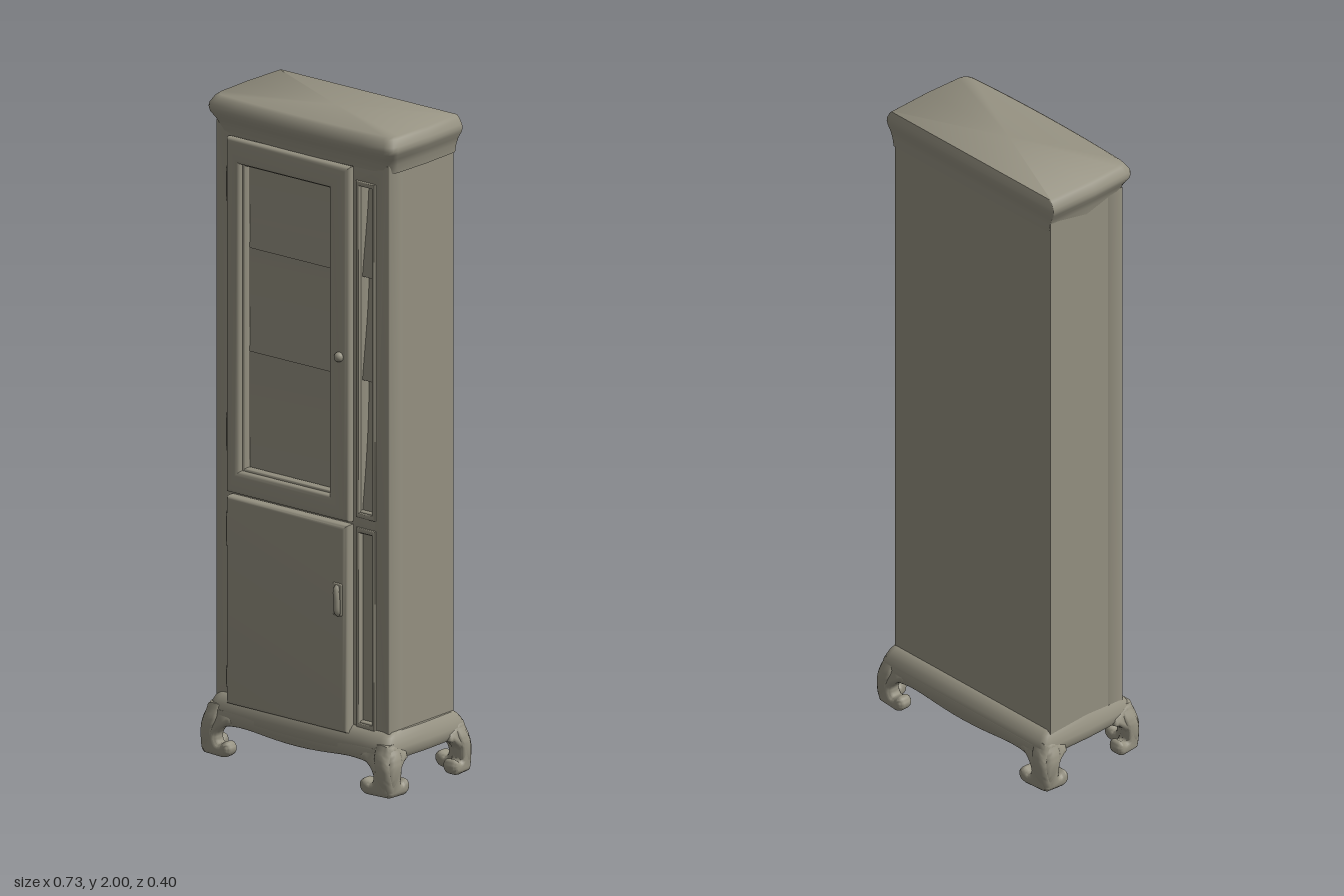
import * as THREE from 'three';
import { toCreasedNormals } from 'three/addons/utils/BufferGeometryUtils.js';
import { RoundedBoxGeometry } from 'three/addons/geometries/RoundedBoxGeometry.js';

const wood = new THREE.MeshStandardMaterial({ color: 0x969282, side: THREE.DoubleSide });
wood.name = 'greyWood';

// Plan outline: rounded rectangle with gently bowed front and sides
function plan(hx, zf, zb, rf, rb, bow) {
  const pts = [];
  const corner = (cx, cz, r, a0) => {
    for (let i = 0; i <= 3; i++) {
      const a = a0 - (i / 3) * Math.PI / 2;
      pts.push([cx + r * Math.cos(a), cz + r * Math.sin(a)]);
    }
  };
  corner(hx - rf, zf - rf, rf, Math.PI / 2);
  pts.push([hx + bow * 0.5, (zf + zb) / 2]);
  corner(hx - rb, zb + rb, rb, 0);
  corner(-hx + rb, zb + rb, rb, -Math.PI / 2);
  pts.push([-hx - bow * 0.5, (zf + zb) / 2]);
  corner(-hx + rf, zf - rf, rf, Math.PI);
  for (let i = 1; i < 8; i++) {
    const u = i / 4 - 1;
    pts.push([u * (hx - rf), zf + bow * (1 - u * u)]);
  }
  return pts;
}

// Moulding lofted through levels of [y, half width, front z, back z]
function moulding(levels, rf, rb, bow) {
  const pos = [], idx = [];
  const rings = levels.map(([y, hx, zf, zb]) => plan(hx, zf, zb, rf, rb, bow).map(([x, z]) => [x, y, z]));
  const n = rings[0].length;
  rings.forEach(r => r.forEach(p => pos.push(...p)));
  for (let i = 0; i < rings.length - 1; i++) {
    for (let j = 0; j < n; j++) {
      const a = i * n + j, b = i * n + (j + 1) % n;
      idx.push(a, b, b + n, a, b + n, a + n);
    }
  }
  const last = (rings.length - 1) * n;
  pos.push(0, levels[0][0], 0, 0, levels[levels.length - 1][0], 0);
  const c = rings.length * n;
  for (let j = 0; j < n; j++) {
    const k = (j + 1) % n;
    idx.push(c, k, j, c + 1, last + j, last + k);
  }
  const g = new THREE.BufferGeometry();
  g.setAttribute('position', new THREE.Float32BufferAttribute(pos, 3));
  g.setIndex(idx);
  return toCreasedNormals(g, 0.9);
}

const rect = (T, x0, x1, y0, y1) =>
  new T([[x0, y0], [x1, y0], [x1, y1], [x0, y1]].map(p => new THREE.Vector2(...p)));

// Soft-edged slab cut from a shape, from z0 to z1
function slab(shape, z0, z1, bevel) {
  const g = new THREE.ExtrudeGeometry(shape, {
    depth: z1 - z0 - 2 * bevel, bevelEnabled: bevel > 0, bevelSize: bevel,
    bevelThickness: bevel, bevelOffset: -bevel, bevelSegments: 3, curveSegments: 10,
  });
  g.translate(0, 0, z0 + bevel);
  return toCreasedNormals(g, 0.9);
}

function frame(outer, holes, z0, z1, bevel) {
  const s = rect(THREE.Shape, ...outer);
  holes.forEach(h => s.holes.push(rect(THREE.Path, ...h)));
  return slab(s, z0, z1, bevel);
}

// Scrolled foot wing, pinched inward towards its top and its corner
function footWing() {
  const s = new THREE.Shape();
  s.moveTo(-0.026, 0.155);
  s.bezierCurveTo(-0.018, 0.13, 0, 0.12, 0, 0.08);
  s.bezierCurveTo(0, 0.04, -0.008, 0.015, -0.022, 0);
  s.lineTo(-0.09, 0);
  s.bezierCurveTo(-0.125, 0, -0.13, 0.04, -0.105, 0.048);
  s.bezierCurveTo(-0.095, 0.05, -0.085, 0.035, -0.075, 0.04);
  s.bezierCurveTo(-0.06, 0.055, -0.07, 0.09, -0.125, 0.105);
  s.lineTo(-0.125, 0.13);
  s.bezierCurveTo(-0.1, 0.14, -0.08, 0.155, -0.05, 0.155);
  const g = slab(s, -0.05, 0, 0.015);
  const p = g.attributes.position;
  for (let i = 0; i < p.count; i++) {
    const top = THREE.MathUtils.smoothstep(p.getY(i), 0.07, 0.155);
    const corner = Math.max(0, 1 + p.getX(i) / 0.06);
    p.setZ(i, p.getZ(i) - 0.02 * top - 0.014 * corner * corner);
  }
  return toCreasedNormals(g, 0.9);
}

export function createModel() {
  const group = new THREE.Group();
  const add = (name, g, parent = group) => {
    const m = new THREE.Mesh(g, wood);
    m.name = name;
    parent.add(m);
    return m;
  };
  const box = (name, x0, x1, y0, y1, z0, z1, r = 0) => {
    const s = [x1 - x0, y1 - y0, z1 - z0];
    const g = r ? new RoundedBoxGeometry(...s, 3, r) : new THREE.BoxGeometry(...s);
    g.translate((x0 + x1) / 2, (y0 + y1) / 2, (z0 + z1) / 2);
    return add(name, g);
  };

  // Carcass: solid rear part and pierced front frame
  box('carcass', -0.334, 0.322, 0.15, 1.92, -0.15, 0.08);
  add('frontFrame', frame([-0.334, 0.322, 0.15, 1.92], [
    [-0.24, 0.17, 0.86, 1.82],
    [0.21, 0.26, 0.84, 1.83],
    [0.21, 0.26, 0.2, 0.77],
  ], 0.07, 0.142, 0.008));
  add('sideWindowTrim', frame([0.2, 0.272, 0.82, 1.845], [[0.212, 0.26, 0.835, 1.83]], 0.135, 0.148, 0.004));
  add('sidePanelTrim', frame([0.2, 0.272, 0.18, 0.79], [[0.212, 0.26, 0.195, 0.775]], 0.135, 0.148, 0.004));
  box('sidePanel', 0.205, 0.265, 0.19, 0.78, 0.07, 0.125);

  // Shelf bays: each back panel sweeps forward into the shelf edge below it
  for (const [y0, y1] of [[0.83, 1.235], [1.235, 1.55], [1.55, 1.84]]) {
    const s = new THREE.Shape();
    s.moveTo(0.06, y0);
    s.lineTo(0.128, y0);
    s.bezierCurveTo(0.12, y0 + 0.08, 0.1, y0 + 0.2, 0.098, y1);
    s.lineTo(0.06, y1);
    const g = slab(s, 0, 0.52, 0);
    g.rotateY(-Math.PI / 2);
    g.translate(0.27, 0, 0);
    add('shelfBay', g);
  }

  // Crown moulding, flat at the back
  add('crown', moulding([
    [1.885, 0.329, 0.14, -0.151], [1.912, 0.333, 0.146, -0.152], [1.932, 0.34, 0.156, -0.153],
    [1.95, 0.351, 0.167, -0.154], [1.962, 0.354, 0.169, -0.155], [1.974, 0.352, 0.167, -0.155],
    [1.994, 0.341, 0.154, -0.154], [2, 0.334, 0.145, -0.153],
  ], 0.03, 0.004, 0.009));

  // Upper glazed door
  add('upperDoor', frame([-0.275, 0.19, 0.805, 1.885], [[-0.225, 0.115, 0.875, 1.81]], 0.135, 0.17, 0.014));
  add('upperDoorBead', frame([-0.235, 0.125, 0.865, 1.82], [[-0.217, 0.107, 0.883, 1.802]], 0.12, 0.15, 0.008));

  // Lower door with a hollowed panel
  add('lowerDoor', frame([-0.265, 0.19, 0.165, 0.797], [[-0.24, 0.15, 0.2, 0.755]], 0.135, 0.18, 0.013));
  const panel = new THREE.PlaneGeometry(0.4, 0.565, 12, 12);
  const p = panel.attributes.position;
  for (let i = 0; i < p.count; i++) {
    const u = p.getX(i) / 0.2, v = p.getY(i) / 0.2825;
    p.setZ(i, -0.03 * (1 - u * u) * (1 - v * v) * (1 + 0.4 * v));
  }
  panel.translate(-0.045, 0.4775, 0.174);
  panel.computeVertexNormals();
  add('lowerDoorPanel', panel);

  // Hinges and handles
  for (const [y0, y1] of [[1.68, 1.8], [0.92, 1.05], [0.63, 0.75], [0.2, 0.28]]) {
    const h = add('hinge', new THREE.CapsuleGeometry(0.012, y1 - y0 - 0.024, 4, 10));
    h.position.set(-0.271, (y0 + y1) / 2, 0.15);
  }
  const knob = add('upperKnob', new THREE.SphereGeometry(0.015, 14, 10));
  knob.position.set(0.158, 1.305, 0.172);
  add('lowerHandle', new THREE.TubeGeometry(new THREE.CatmullRomCurve3([
    [0.16, 0.61, 0.175], [0.16, 0.6, 0.186], [0.163, 0.565, 0.188], [0.163, 0.535, 0.186], [0.16, 0.525, 0.175],
  ].map(q => new THREE.Vector3(...q))), 16, 0.01, 8));
  box('handlePlate', 0.142, 0.178, 0.52, 0.62, 0.17, 0.184, 0.006);

  // Base moulding
  add('baseMoulding', moulding([
    [0.105, 0.337, 0.165, -0.178], [0.12, 0.346, 0.172, -0.185], [0.14, 0.346, 0.172, -0.185],
    [0.158, 0.34, 0.166, -0.178], [0.172, 0.335, 0.157, -0.168], [0.185, 0.328, 0.143, -0.153],
  ], 0.03, 0.02, 0.008));

  // Aprons with curved lower edge, front and back
  for (const [z0, z1] of [[0.145, 0.178], [-0.187, -0.155]]) {
    const s = new THREE.Shape();
    s.moveTo(-0.3, 0.14);
    s.lineTo(-0.3, 0.085);
    s.bezierCurveTo(-0.2, 0.115, -0.15, 0.087, 0, 0.087);
    s.bezierCurveTo(0.15, 0.087, 0.2, 0.115, 0.3, 0.085);
    s.lineTo(0.3, 0.14);
    add('apron', slab(s, z0, z1, 0.008));
  }

  // Feet: two curled wings meeting at each corner
  const wingGeo = footWing();
  for (const sx of [1, -1]) {
    for (const sz of [1, -1]) {
      const foot = new THREE.Group();
      foot.name = (sz > 0 ? 'front' : 'back') + (sx > 0 ? 'Left' : 'Right') + 'Foot';
      foot.position.set(sx * 0.366, 0, sz > 0 ? 0.192 : -0.199);
      foot.scale.set(sx, 1, sz);
      add('frontWing', wingGeo, foot);
      const side = add('sideWing', wingGeo, foot);
      side.rotation.y = -Math.PI / 2;
      side.scale.set(0.8, 1, -1);
      group.add(foot);
    }
  }
  return group;
}
